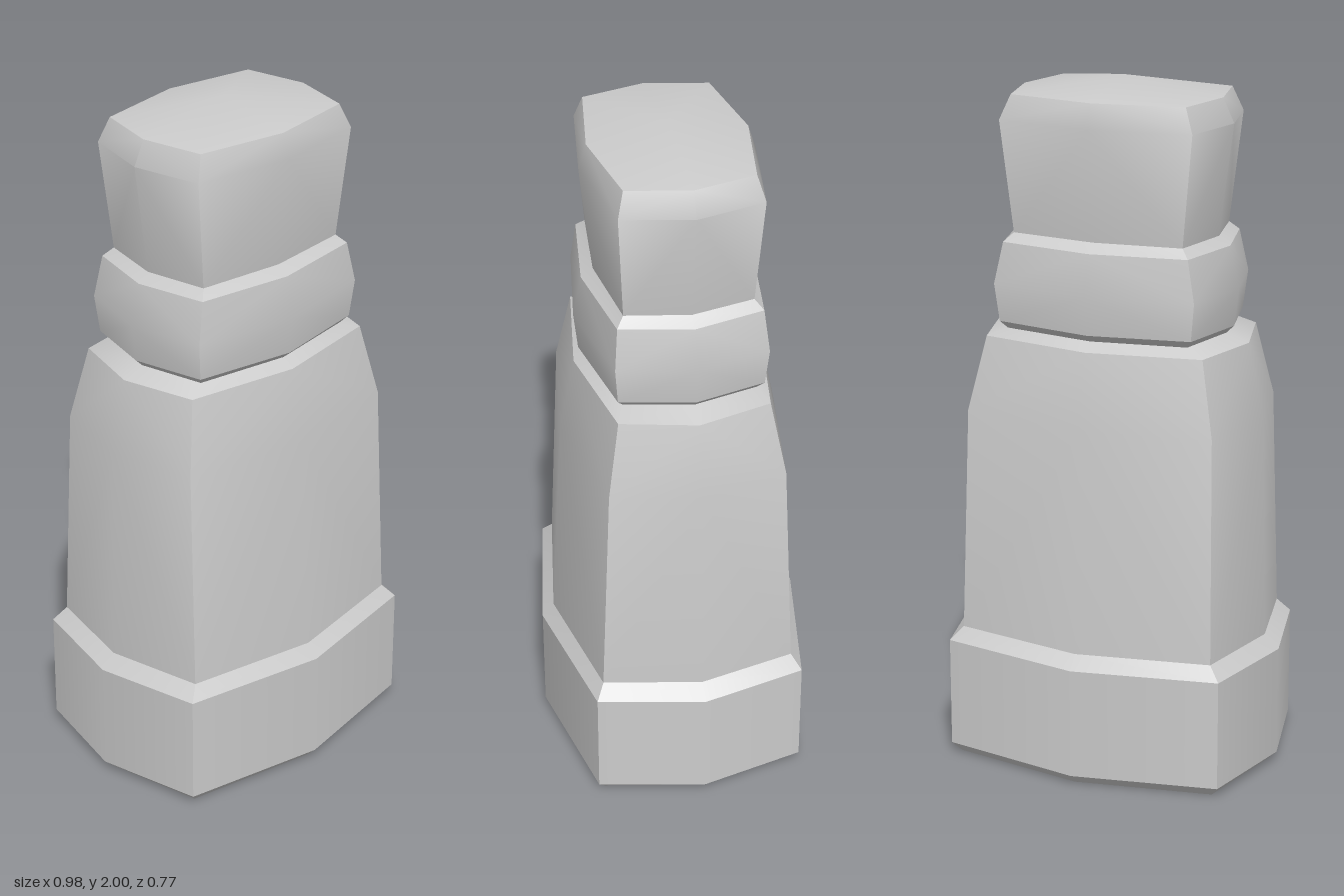
import * as THREE from 'three';
import { toCreasedNormals } from 'three/addons/utils/BufferGeometryUtils.js';

const material = new THREE.MeshStandardMaterial({ color: 0xcccccc });

// Eight-sided ring: side midpoints reach mx and mz, corners sit at (cx, cz)
function ring([y, mx, mz, cx, cz]) {
  return [[mx, 0], [cx, cz], [0, mz], [-cx, cz], [-mx, 0], [-cx, -cz], [0, -mz], [cx, -cz]]
    .map(([x, z]) => [x, y, z]);
}

// Skin a stack of rings; bottomY / topY close an end with a fan to the axis
function loft(name, sections, { bottomY, topY } = {}) {
  const rings = sections.map(ring);
  const last = rings[rings.length - 1];
  const pos = [];
  const tri = (...corners) => corners.forEach((c) => pos.push(...c));
  for (let i = 0; i < 8; i++) {
    const j = (i + 1) % 8;
    for (let k = 0; k + 1 < rings.length; k++) {
      const lo = rings[k], hi = rings[k + 1];
      // mirror the diagonals from one side of each corner to the other
      if (i % 2) {
        tri(lo[i], hi[i], hi[j]);
        tri(lo[i], hi[j], lo[j]);
      } else {
        tri(lo[i], hi[i], lo[j]);
        tri(hi[i], hi[j], lo[j]);
      }
    }
    if (bottomY !== undefined) tri([0, bottomY, 0], rings[0][i], rings[0][j]);
    if (topY !== undefined) tri([0, topY, 0], last[j], last[i]);
  }
  const geometry = new THREE.BufferGeometry();
  geometry.setAttribute('position', new THREE.Float32BufferAttribute(pos, 3));
  const mesh = new THREE.Mesh(toCreasedNormals(geometry, THREE.MathUtils.degToRad(35)), material);
  mesh.name = name;
  return mesh;
}

export function createModel() {
  const group = new THREE.Group();
  group.name = 'post';

  // Section columns: y, side x, side z, corner x, corner z
  const bodyFoot = [0.395, 0.447, 0.352, 0.385, 0.281];
  const neck = [1.288, 0.318, 0.235, 0.273, 0.19];
  const headFoot = [1.565, 0.292, 0.212, 0.254, 0.182];

  group.add(
    // Plinth with chamfered foot and shoulder
    loft('base', [
      [0, 0.458, 0.357, 0.395, 0.285],
      [0.03, 0.49, 0.386, 0.419, 0.306],
      [0.355, 0.49, 0.386, 0.419, 0.306],
      bodyFoot,
    ], { bottomY: 0 }),
    // Tapered body ending in a sloping ledge
    loft('body', [
      bodyFoot,
      [1.05, 0.432, 0.315, 0.372, 0.253],
      [1.265, 0.385, 0.272, 0.328, 0.215],
      neck,
    ]),
    // Bulging collar
    loft('collar', [
      neck,
      [1.31, 0.34, 0.258, 0.29, 0.207],
      [1.42, 0.353, 0.27, 0.302, 0.216],
      [1.54, 0.326, 0.246, 0.278, 0.204],
      headFoot,
    ]),
    // Flared head with a shallow pointed top
    loft('head', [
      headFoot,
      [1.885, 0.333, 0.246, 0.287, 0.2],
      [1.955, 0.3, 0.224, 0.26, 0.18],
    ], { topY: 2 }),
  );
  return group;
}
